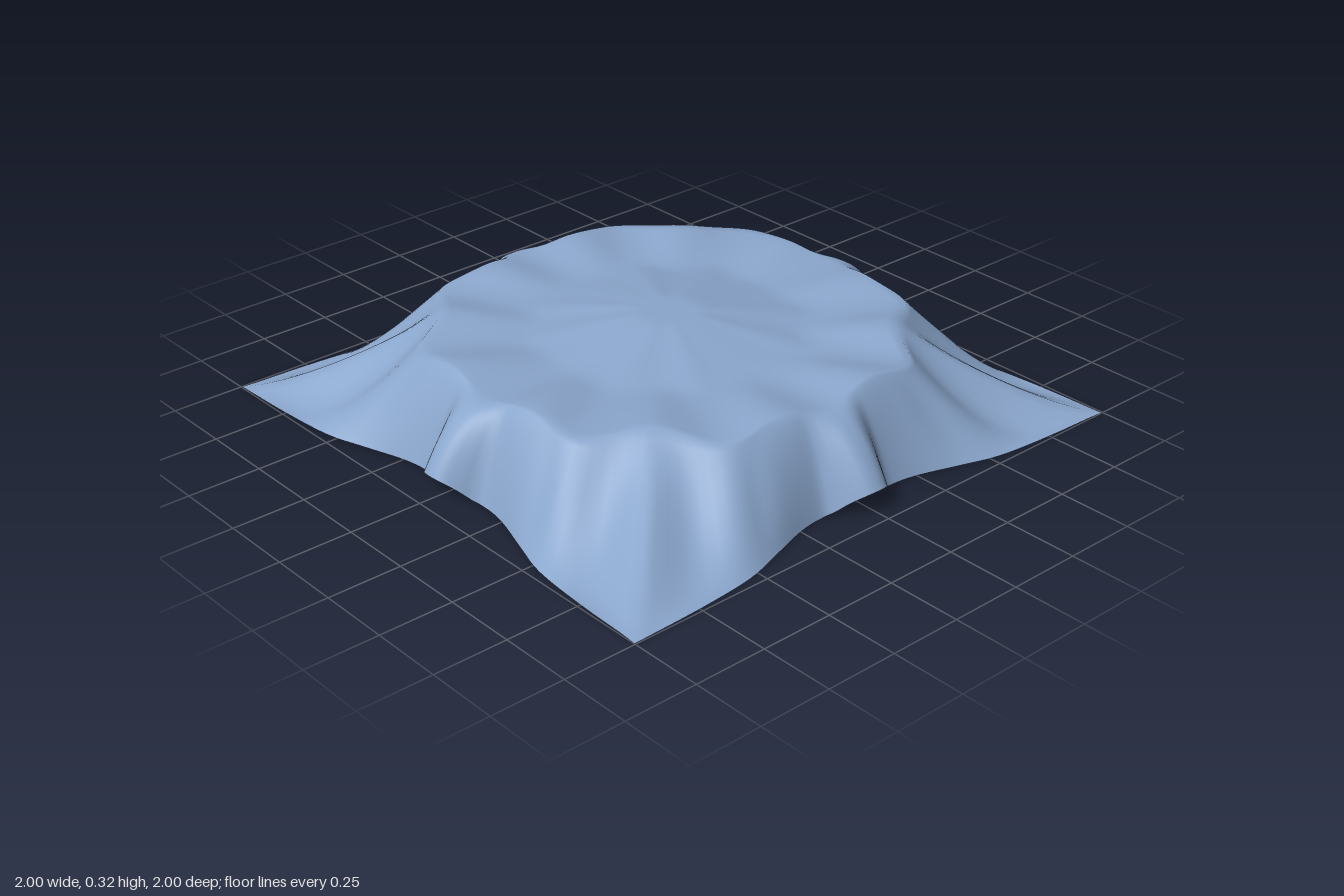
import * as THREE from 'three';
import { mergeVertices } from 'three/addons/utils/BufferGeometryUtils.js';
import { ConvexGeometry } from 'three/addons/geometries/ConvexGeometry.js';

const { smoothstep, lerp } = THREE.MathUtils;

function seeded(seed) {
  return () => (seed = (seed * 16807) % 2147483647) / 2147483647;
}

// One half of the hem: distance along the side, height, distance out
const halfHem = [
  [0, 0.08, 0.96], [0.04, 0.073, 0.95], [0.08, 0.045, 0.915], [0.11, 0.015, 0.885], [0.15, 0, 0.867],
  [0.25, 0, 0.88], [0.4, 0, 0.927], [0.54, 0, 0.968], [0.75, 0, 0.988], [1, 0, 0.997],
];

function createCloth() {
  const columns = 72, inner = 22, outer = 20, rows = inner + outer;
  const points = [
    ...halfHem.slice(1).reverse().map(([t, y, e]) => new THREE.Vector3(-t, y, e)),
    ...halfHem.map(([t, y, e]) => new THREE.Vector3(t, y, e)),
  ];
  const hem = new THREE.CatmullRomCurve3(points, false, 'catmullrom', 0.5);
  const position = [], index = [];

  // A point of the front quarter: column along the hem, row from centre to hem
  function surface(column, row) {
    const edge = hem.getPoint(column / columns);
    const t = Math.abs(edge.x);
    const angle = Math.atan2(edge.x, edge.z);
    const fromAxis = Math.abs(angle) * 180 / Math.PI;
    const rimRadius = 0.73 + 0.07 * Math.exp(-(((fromAxis - 29) / 9) ** 2));
    const rimHeight = 0.287 - 0.012 * Math.cos(12 * angle);
    const dirX = Math.sin(angle), dirZ = Math.cos(angle);
    if (row <= inner) {
      // Sagging top with a raised middle
      const v = row / inner;
      const middle = Math.min(0.055, 0.073 * Math.max(0, 1 - v / 0.6));
      const y = 0.268 + middle + (rimHeight - 0.268) * smoothstep(v, 0.5, 1);
      return [dirX * rimRadius * v, y, dirZ * rimRadius * v];
    }
    // Skirt: steep in the middle of each side, long and hollow at the corners
    const u = (row - inner) / outer;
    const steep = 1 - Math.pow(u, lerp(2, 1.5, smoothstep(t, 0.02, 0.15)));
    const hollow = Math.pow(1 - u, 1.65);
    const fall = lerp(steep, hollow, smoothstep(t, 0.15, 0.75));
    const pleat = 0.015 * Math.sin(Math.PI * u) * smoothstep(fromAxis, 18, 28)
      * Math.cos((fromAxis - 45) / 7.5 * Math.PI);
    const y = Math.max(0, lerp(edge.y, rimHeight, fall) + pleat);
    const r = lerp(rimRadius, Math.hypot(edge.x, edge.z), u);
    return [dirX * r, y, dirZ * r];
  }

  for (let row = 0; row <= rows; row++) {
    for (let side = 0; side < 4; side++) {
      for (let c = 0; c < columns; c++) {
        let [x, y, z] = surface(c, row);
        for (let k = 0; k < side; k++) [x, z] = [z, -x];
        position.push(x, y, z);
      }
    }
  }
  const ring = 4 * columns;
  for (let row = 0; row < rows; row++) {
    for (let i = 0; i < ring; i++) {
      const j = (i + 1) % ring;
      const a = row * ring + i, b = a + ring, d = row * ring + j, c = d + ring;
      if (row > 0) index.push(a, c, d);
      index.push(a, b, c);
    }
  }
  let geometry = new THREE.BufferGeometry();
  geometry.setAttribute('position', new THREE.Float32BufferAttribute(position, 3));
  geometry.setIndex(index);
  geometry = mergeVertices(geometry, 1e-5);
  geometry.computeVertexNormals();
  const cloth = new THREE.Mesh(geometry,
    new THREE.MeshStandardMaterial({ color: 0x8aa6cc, side: THREE.DoubleSide }));
  cloth.name = 'drapedCloth';
  return cloth;
}

export function createModel() {
  const model = new THREE.Group();
  model.name = 'coveredStoneRing';
  const random = seeded(41);
  const grey = new THREE.MeshStandardMaterial({ color: 0xcccccc, flatShading: true });

  model.add(createCloth());

  // Faceted stone, narrow at the foot, from jittered rings of corners
  function stone(name, width, depth, height, foot) {
    const corners = [];
    for (const [level, size] of [[0, foot], [0.5, 1], [0.8, 0.85], [1, 0.5]]) {
      for (let k = 0; k < 6; k++) {
        const a = (k + 0.5 + (random() - 0.5) * 0.5) * Math.PI / 3;
        const lift = level % 1 ? (random() - 0.5) * 0.15 : 0;
        corners.push(new THREE.Vector3(
          Math.cos(a) * width * size, (level + lift) * height, Math.sin(a) * depth * size));
      }
    }
    const mesh = new THREE.Mesh(new ConvexGeometry(corners), grey);
    mesh.name = name;
    return mesh;
  }

  // Ring of closely set stones under the rim
  const stones = new THREE.Group();
  stones.name = 'stoneRing';
  const count = 14;
  for (let i = 0; i < count; i++) {
    const angle = (i + 0.5) * 2 * Math.PI / count;
    const rock = stone('ringStone', 0.17, 0.145, 0.24 + random() * 0.015, 0.6);
    rock.position.set(Math.sin(angle) * 0.65, 0, Math.cos(angle) * 0.65);
    rock.rotation.y = angle;
    stones.add(rock);
  }
  model.add(stones);

  // Round bed with an opening in the middle
  const outline = new THREE.Shape().absarc(0, 0, 0.66, 0, Math.PI * 2);
  outline.holes.push(new THREE.Path().absarc(0, 0, 0.12, 0, Math.PI * 2, true));
  const bed = new THREE.Mesh(
    new THREE.ExtrudeGeometry(outline, { depth: 0.015, bevelEnabled: false, curveSegments: 20 }), grey);
  bed.name = 'bed';
  bed.rotation.x = -Math.PI / 2;
  model.add(bed);

  // Middle stone holding up the cloth
  model.add(stone('middleStone', 0.18, 0.18, 0.3, 0.5));
  return model;
}
